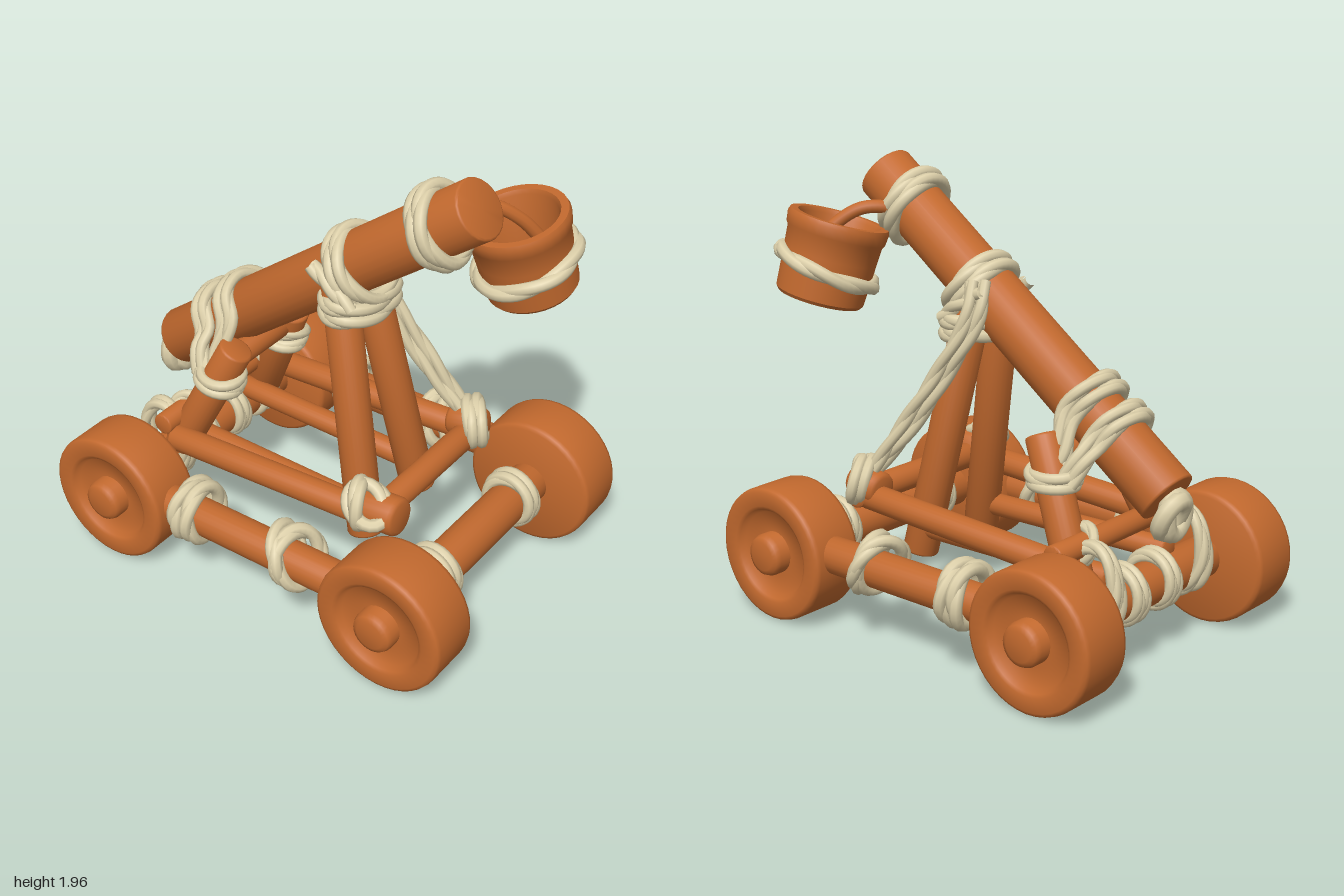
import * as THREE from 'three';
import { toCreasedNormals } from 'three/addons/utils/BufferGeometryUtils.js';

const V = (x, y, z) => new THREE.Vector3(x, y, z);

export function createModel() {
  const model = new THREE.Group();
  model.name = 'catapult';
  const wood = new THREE.MeshStandardMaterial({ color: 0xc2692e });
  wood.name = 'wood';
  const cord = new THREE.MeshStandardMaterial({ color: 0xdccfa9 });
  cord.name = 'rope';

  function add(name, geometry, material, parent = model) {
    const mesh = new THREE.Mesh(geometry, material);
    mesh.name = name;
    parent.add(mesh);
    return mesh;
  }

  // Round log between two points, with slightly rounded ends
  function log(name, a, b, r, e = r * 0.15) {
    const len = a.distanceTo(b), h = len / 2;
    const profile = [[0, -h], [r - e, -h], [r - e * 0.3, e * 0.3 - h], [r, e - h],
      [r, h - e], [r - e * 0.3, h - e * 0.3], [r - e, h], [0, h]];
    const geo = new THREE.LatheGeometry(profile.map(p => new THREE.Vector2(...p)), 24);
    const mesh = add(name, toCreasedNormals(geo, 0.9), wood);
    mesh.position.copy(a).lerp(b, 0.5);
    mesh.quaternion.setFromUnitVectors(V(0, 1, 0), b.clone().sub(a).normalize());
    return mesh;
  }

  // Two soft strands, gently twisted around a path
  function rope(name, points, closed = false, r = 0.034, parent = model) {
    const path = new THREE.CatmullRomCurve3(points, closed);
    const len = path.getLength();
    const n = Math.max(16, Math.ceil(len / 0.025));
    const turns = Math.max(1, Math.round(len / 0.45));
    const frames = path.computeFrenetFrames(n, closed);
    const group = new THREE.Group();
    group.name = name;
    for (let s = 0; s < 2; s++) {
      const strand = [];
      for (let i = 0; i < (closed ? n : n + 1); i++) {
        const a = (i / n) * turns * Math.PI * 2 + s * Math.PI;
        strand.push(path.getPointAt(i / n)
          .addScaledVector(frames.normals[i], Math.cos(a) * r * 0.28)
          .addScaledVector(frames.binormals[i], Math.sin(a) * r * 0.28));
      }
      const curve = new THREE.CatmullRomCurve3(strand, closed);
      add(name + 'Strand', new THREE.TubeGeometry(curve, n, r * 0.8, 8, closed), cord, group);
    }
    parent.add(group);
    return group;
  }

  // Oval rope loop around an axis; ra lies sideways, rb upright
  function loop(name, center, axis, ra, rb = ra, r = 0.034, parent = model) {
    const q = new THREE.Quaternion().setFromUnitVectors(V(0, 0, 1), axis.clone().normalize());
    const points = [];
    for (let i = 0; i < 16; i++) {
      const a = (i / 16) * Math.PI * 2;
      points.push(V(Math.cos(a) * ra, Math.sin(a) * rb, 0).applyQuaternion(q).add(center));
    }
    return rope(name, points, true, r, parent);
  }

  // Wheels with a recessed face, and axles whose ends form the hubs
  const wheelProfile = [[0, -0.125], [0.275, -0.125], [0.29, -0.117], [0.295, -0.1], [0.295, 0.1], [0.29, 0.117],
    [0.275, 0.125], [0.215, 0.122], [0.2, 0.115], [0.185, 0.092], [0.1, 0.088], [0, 0.088]];
  const wheelGeo = toCreasedNormals(
    new THREE.LatheGeometry(wheelProfile.map(p => new THREE.Vector2(...p)), 40), 1);
  for (const z of [0.71, -0.71]) {
    const end = z > 0 ? 'front' : 'rear';
    log(end + 'Axle', V(-0.755, 0.31, z), V(0.755, 0.31, z), 0.092, 0.03);
    for (const s of [-1, 1]) {
      const wheel = add(end + 'Wheel', wheelGeo, wood);
      wheel.position.set(s * 0.588, 0.305, z);
      wheel.rotation.z = -s * Math.PI / 2;
    }
  }

  const X = V(1, 0, 0), Y = V(0, 1, 0);
  const armAt = z => V(0, 1.3675 + 0.75 * z, z);
  for (const s of [-1, 1]) {
    // Chassis rails, upper poles and lower poles
    log('sideRail', V(s * 0.59, 0.34, -0.65), V(s * 0.59, 0.34, 0.65), 0.08);
    log('upperPole', V(s * 0.37, 0.49, -0.6), V(s * 0.37, 0.545, 0.45), 0.058);
    log('lowerPole', V(s * 0.2, 0.42, -0.72), V(s * 0.2, 0.4, 0.33), 0.05);
    // Front legs leaning to the arm, rear posts leaning forward
    log('frontLeg', V(s * 0.2, 0.28, 0.305), V(s * 0.085, 1.44, 0.075), 0.078);
    log('rearPost', V(s * 0.3, 0.4, -0.63), V(s * 0.2, 0.945, -0.375), 0.076);

    // Lashings on the rails
    for (const [z, tilt, lean] of [[0.235, 0.3, 0.35], [0.175, -0.3, 0.35], [-0.27, 0, 0.05], [-0.33, 0.05, 0]])
      loop('railLashing', V(s * 0.586, 0.36, z), V(tilt * s, lean, 1), 0.11, 0.115);
    // Lashings on the axles
    for (const dx of [-0.02, 0.022]) {
      loop('frontAxleLashing', V(s * 0.31 + dx, 0.325, 0.715), X, 0.105, 0.105, 0.03);
      loop('rearAxleLashing', V(s * 0.3 + dx, 0.4, -0.71), V(1, dx * 3, 0), 0.12, 0.18, 0.028);
      loop('innerAxleLashing', V(s * 0.11 + dx, 0.32, -0.71), X, 0.105, 0.105, 0.028);
    }
    // Lashings on the rear posts and where they meet the rear bar
    loop('postLashing', V(s * 0.222, 0.765, -0.455), V(0, 1, 0.1), 0.083, 0.095, 0.03);
    loop('postLashing', V(s * 0.222, 0.81, -0.45), V(s * 0.2, 1, 0), 0.083, 0.095, 0.03);
    loop('postBarLashing', V(s * 0.255, 0.55, -0.615), V(s, 0.4, 0.3), 0.075, 0.075, 0.026);
    // Strands along the arm sides above the legs
    rope('legWrap', [V(s * 0.16, 1.33, 0.2), V(s * 0.165, 1.39, 0.11), V(s * 0.15, 1.46, -0.01)], false, 0.032);
  }

  // Ropes running from post to post over the arm
  for (const [z, low, top] of [[-0.4, 0.8, -0.52], [-0.44, 0.79, -0.565], [-0.5, 0.8, -0.65], [-0.53, 0.78, -0.69]]) {
    const crown = armAt(top + 0.09).add(V(0, 0.12, -0.09));
    const side = s => [V(s * 0.25, low, z - 0.02), V(s * 0.205, low + 0.09, z * 0.6 + top * 0.4),
      V(s * 0.152, crown.y - 0.12, top + 0.08), V(s * 0.105, crown.y - 0.035, top + 0.025)];
    rope('armPostRope', [...side(-1), crown, ...side(1).reverse()], false, 0.03);
  }

  // Cross bars
  log('frontCrossBar', V(-0.4, 0.555, 0.47), V(0.43, 0.555, 0.47), 0.058);
  log('rearCrossBar', V(-0.41, 0.56, -0.635), V(0.46, 0.56, -0.635), 0.048);
  log('armSupportBar', V(-0.26, 0.865, -0.42), V(0.26, 0.865, -0.42), 0.055);
  log('rightBarKnob', V(-0.365, 0.575, 0.37), V(-0.365, 0.59, 0.59), 0.083, 0.02);
  log('leftBarKnob', V(0.36, 0.58, 0.37), V(0.36, 0.6, 0.53), 0.075, 0.02);

  // Rope tangle on the right front corner, and the ring on the left
  loop('cornerLashing', V(-0.405, 0.615, 0.42), V(0.35, 0.1, 1), 0.075, 0.09);
  loop('cornerLashing', V(-0.415, 0.63, 0.46), V(-0.6, 0.8, 0.3), 0.07, 0.09);
  for (const d of [-0.015, 0.015])
    loop('tetherRing', V(0.362 + d, 0.607, 0.485 + d), V(0.55, 0.15, 0.8), 0.095, 0.088, 0.032);

  // Throwing arm
  const armAxis = V(0, 0.6, 0.8);
  log('throwingArm', armAt(-0.85), armAt(0.67), 0.128, 0.01);
  for (const z of [0.515, 0.48])
    loop('tipLashing', armAt(z), V(0, 0.48, 0.88), 0.145, 0.148, 0.034);
  for (const z of [0.145, 0.105])
    loop('armLashing', armAt(z).add(V(0, -0.02, 0)), armAxis, 0.15, 0.15, 0.033);
  loop('armEndKnot', V(0, 0.66, -0.875), V(0, -0.25, -1), 0.06, 0.075, 0.05);
  for (const y of [1.265, 1.32])
    loop('legTopLashing', V(0, y, 0.125), Y, 0.18, 0.115, 0.034);

  // Doubled tether from the arm down to the ring
  for (const d of [-0.018, 0.018])
    rope('tether', [V(0.13 + d, 1.5, 0.03 + d), V(0.18 + d, 1.37, 0.01 + d), V(0.235 + d, 1.12, 0.13 + d),
      V(0.3 + d, 0.83, 0.31 + d), V(0.345 + d, 0.67, 0.42)], false, 0.029);

  // Bucket with hollow inside, hung beside the arm tip
  const bucket = new THREE.Group();
  bucket.name = 'bucket';
  const bucketProfile = [[0, -0.175], [0.178, -0.175], [0.19, -0.16], [0.2, 0.02], [0.205, 0.1], [0.214, 0.115],
    [0.219, 0.16], [0.212, 0.178], [0.18, 0.178], [0.17, 0.16], [0.15, -0.1], [0, -0.1]];
  add('bucketShell', toCreasedNormals(new THREE.LatheGeometry(
    bucketProfile.map(p => new THREE.Vector2(...p)), 32), 0.6), wood, bucket);
  loop('bucketRope', V(0, -0.035, 0), V(-0.08, 1, -0.12), 0.208, 0.208, 0.034, bucket);
  bucket.position.set(0.328, 1.537, 0.69);
  bucket.quaternion.setFromUnitVectors(Y, V(-0.22, 1, -0.18).normalize());
  model.add(bucket);

  // Bent wooden handle from the arm across the bucket mouth
  const handlePath = new THREE.CatmullRomCurve3([V(0.06, 1.72, 0.47), V(0.16, 1.755, 0.52),
    V(0.24, 1.75, 0.59), V(0.32, 1.68, 0.67), V(0.4, 1.56, 0.74)]);
  add('bucketHandle', new THREE.TubeGeometry(handlePath, 24, 0.028, 10), wood);

  return model;
}
